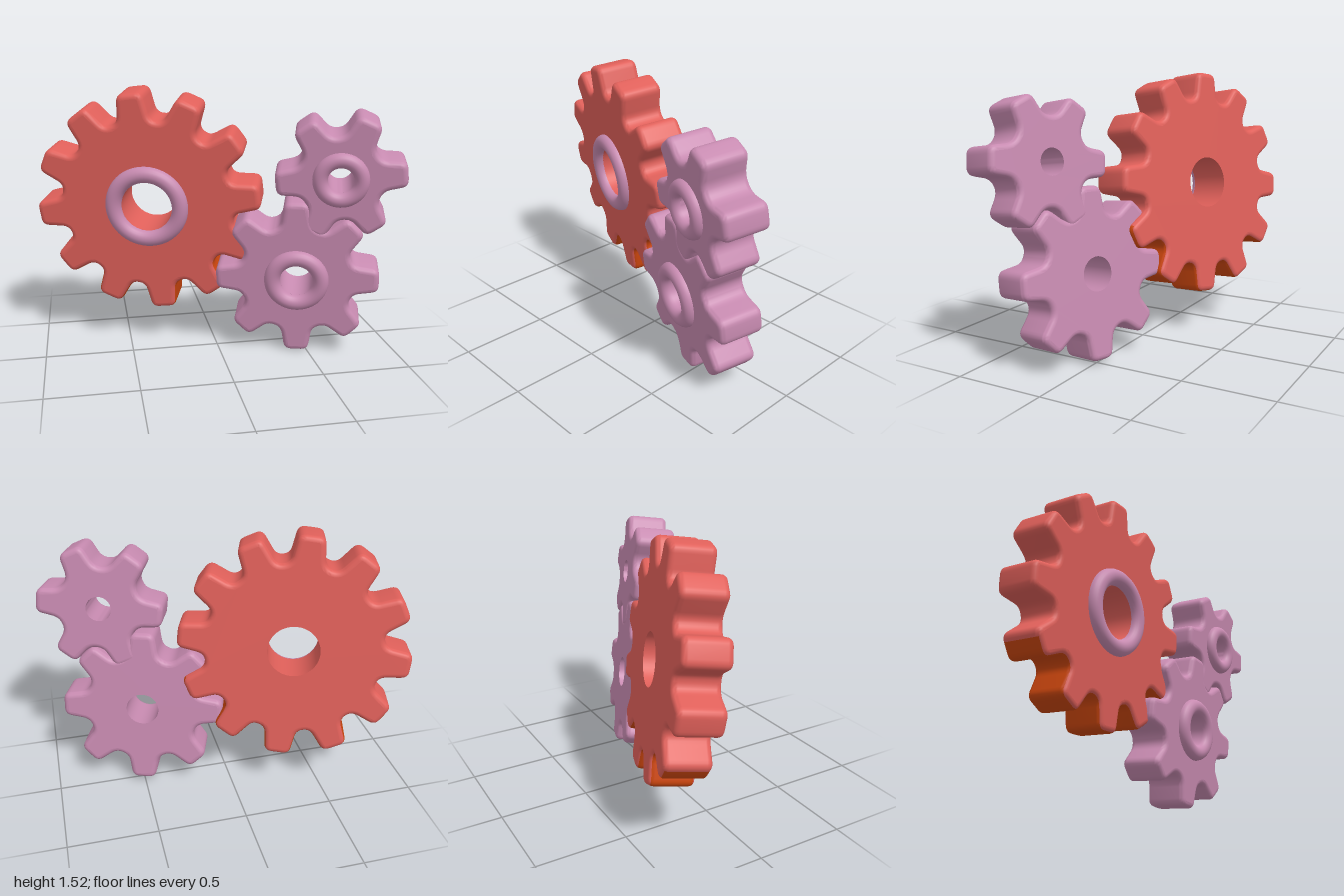
import * as THREE from 'three';
import { toCreasedNormals } from 'three/addons/utils/BufferGeometryUtils.js';

const THICK = 0.243;  // gear thickness
const BEVEL = 0.03;   // rounded rim

// Closed toothed outline with softened corners
function gearShape({ teeth, tip, root, tipHalf, baseHalf, phase }) {
  const pts = [];
  for (let i = 0; i < teeth; i++) {
    const a = THREE.MathUtils.degToRad(phase) + (i * Math.PI * 2) / teeth;
    for (const [r, w] of [[root, -baseHalf], [tip, -tipHalf], [tip, tipHalf], [root, baseHalf]]) {
      pts.push(new THREE.Vector2(r, w).rotateAround(new THREE.Vector2(), a));
    }
  }
  const shape = new THREE.Shape();
  pts.forEach((p, i) => {
    const prev = pts[(i + pts.length - 1) % pts.length];
    const next = pts[(i + 1) % pts.length];
    const toward = (q) => p.clone().lerp(q, Math.min(0.45, 0.04 / p.distanceTo(q)));
    const s = toward(prev), e = toward(next);
    if (i === 0) shape.moveTo(s.x, s.y); else shape.lineTo(s.x, s.y);
    shape.quadraticCurveTo(p.x, p.y, e.x, e.y);
  });
  shape.closePath();
  return shape;
}

function gearGeometry(spec) {
  const shape = gearShape(spec);
  const circle = new THREE.Path().absarc(0, 0, spec.hole, 0, Math.PI * 2, true);
  shape.holes.push(new THREE.Path(circle.getPoints(24).slice(0, -1)));
  const depth = THICK - 2 * BEVEL;
  let geo = new THREE.ExtrudeGeometry(shape, {
    depth, curveSegments: 5, bevelEnabled: true, bevelSegments: 5,
    bevelSize: BEVEL, bevelThickness: BEVEL, bevelOffset: -BEVEL,
  });
  geo.translate(0, 0, -depth / 2);

  // Keep the bore a straight cylinder with sharp ends
  const pos = geo.attributes.position;
  for (let i = 0; i < pos.count; i++) {
    const r = Math.hypot(pos.getX(i), pos.getY(i));
    if (r < spec.hole + BEVEL + 0.01) {
      pos.setXY(i, (pos.getX(i) * spec.hole) / r, (pos.getY(i) * spec.hole) / r);
    }
  }
  geo.clearGroups();
  geo = toCreasedNormals(geo, 0.7);

  // Flat caps, and triangles sorted into body and painted lower rim
  const p = geo.attributes.position, nor = geo.attributes.normal;
  const body = [], rim = [];
  const tri = new THREE.Triangle(), n = new THREE.Vector3(), mid = new THREE.Vector3();
  for (let i = 0; i < p.count; i += 3) {
    tri.setFromAttributeAndIndices(p, i, i + 1, i + 2);
    tri.getNormal(n);
    tri.getMidpoint(mid);
    if (Math.abs(n.z) > 0.995) {
      for (let k = 0; k < 3; k++) nor.setXYZ(i + k, 0, 0, Math.sign(n.z));
    }
    const deg = (THREE.MathUtils.radToDeg(Math.atan2(mid.y, mid.x)) + 360) % 360;
    const painted = spec.paint && Math.abs(n.z) < 0.7 && Math.hypot(mid.x, mid.y) > spec.root * 0.9
      && deg > spec.paint[0] && deg < spec.paint[1];
    (painted ? rim : body).push(i, i + 1, i + 2);
  }
  geo.setIndex([...body, ...rim]);
  geo.addGroup(0, body.length, 0);
  if (rim.length) geo.addGroup(body.length, rim.length, 1);
  return geo;
}

export function createModel() {
  const mat = (name, color) => {
    const m = new THREE.MeshStandardMaterial({ color });
    m.name = name;
    return m;
  };
  const red = mat('red', 0xe0605a);
  const mauve = mat('mauve', 0xc88bb1);
  const orange = mat('orange', 0xcc460e);

  const gears = [
    { name: 'largeGear', at: [-0.361, 0.877, -0.142], teeth: 12, tip: 0.643, root: 0.487, tipHalf: 0.071,
      baseHalf: 0.092, phase: 7.5, hole: 0.145, ring: 0.191, tube: 0.046, color: red, paint: [215, 344] },
    { name: 'mediumGear', at: [0.45, 0.473, 0.11], teeth: 8, tip: 0.46, root: 0.317, tipHalf: 0.068,
      baseHalf: 0.09, phase: 2, hole: 0.092, ring: 0.137, tube: 0.045, color: mauve },
    { name: 'smallGear', at: [0.639, 1.071, 0.248], teeth: 6, tip: 0.352, root: 0.222, tipHalf: 0.068,
      baseHalf: 0.085, phase: 7, hole: 0.07, ring: 0.111, tube: 0.041, color: mauve },
  ];

  // All gears share one tilted axle direction
  const axle = new THREE.Vector3(-0.33, -0.13, 1).normalize();
  const tilt = new THREE.Quaternion().setFromUnitVectors(new THREE.Vector3(0, 0, 1), axle);

  const model = new THREE.Group();
  model.name = 'gearTrain';
  for (const g of gears) {
    const group = new THREE.Group();
    group.name = g.name;
    group.position.set(...g.at);
    group.quaternion.copy(tilt);

    const wheel = new THREE.Mesh(gearGeometry(g), g.paint ? [g.color, orange] : g.color);
    wheel.name = g.name + 'Wheel';

    // Hub ring on the front face
    const ring = new THREE.Mesh(new THREE.TorusGeometry(g.ring, g.tube, 20, 56), mauve);
    ring.name = g.name + 'HubRing';
    ring.position.z = THICK / 2;

    group.add(wheel, ring);
    model.add(group);
  }
  return model;
}
